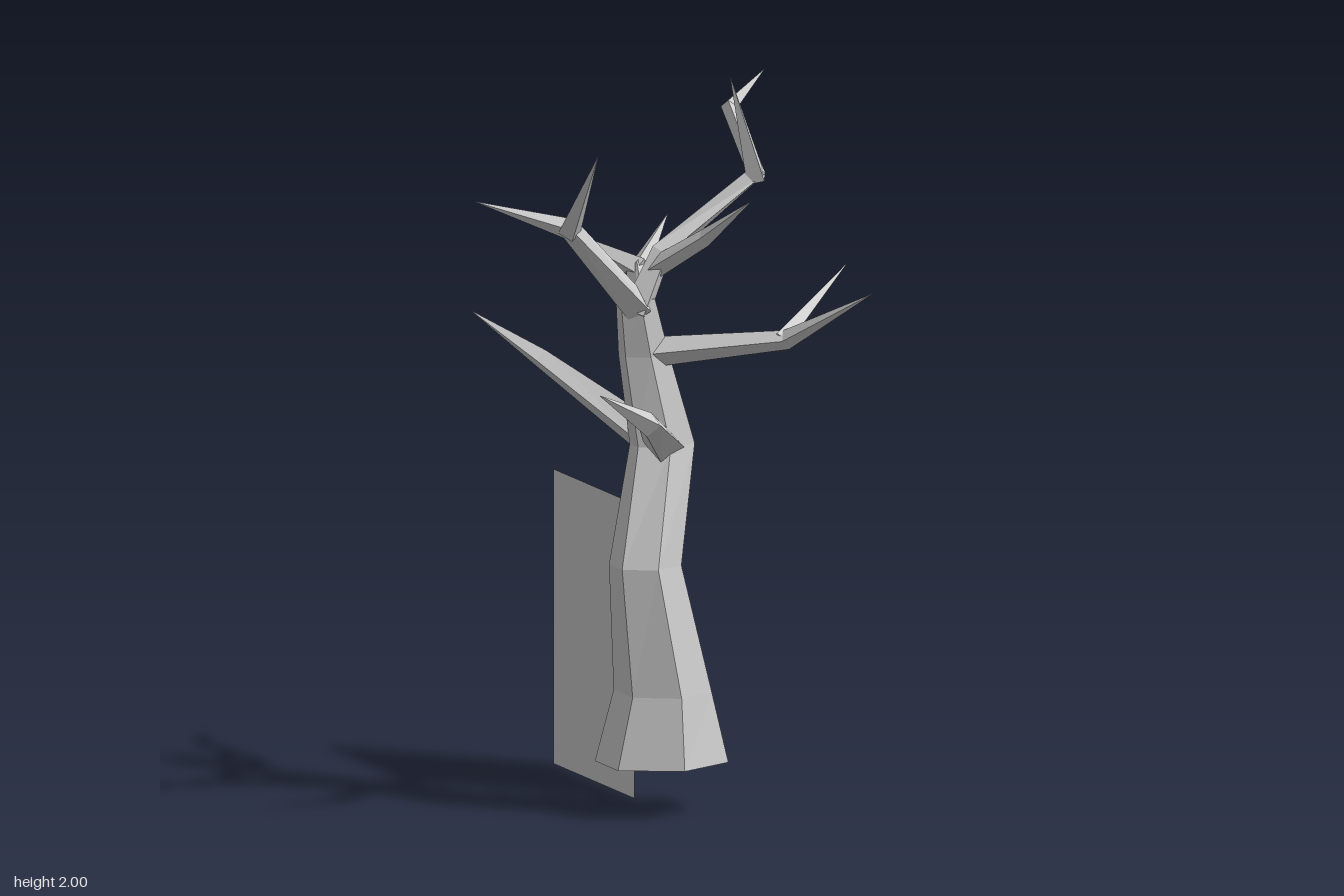
import * as THREE from 'three';

const bark = new THREE.MeshStandardMaterial({ color: 0xcccccc });
bark.name = 'pale grey';
const panelGrey = bark.clone();
panelGrey.name = 'pale grey panel';
panelGrey.side = THREE.DoubleSide;

// Skin a list of equal-sized rings with flat facets and closed ends
function loft(name, rings) {
  const pos = [];
  const tri = (...pts) => pts.forEach((p) => pos.push(p.x, p.y, p.z));
  const n = rings[0].length;
  for (let k = 0; k < rings.length - 1; k++) {
    const a = rings[k], b = rings[k + 1];
    for (let i = 0; i < n; i++) {
      const j = (i + 1) % n;
      tri(a[i], a[j], b[j]);
      tri(a[i], b[j], b[i]);
    }
  }
  const first = rings[0], last = rings[rings.length - 1];
  for (let i = 1; i < n - 1; i++) {
    tri(first[0], first[i + 1], first[i]);
    tri(last[0], last[i], last[i + 1]);
  }
  const g = new THREE.BufferGeometry();
  g.setAttribute('position', new THREE.Float32BufferAttribute(pos, 3));
  g.computeVertexNormals();
  const mesh = new THREE.Mesh(g, bark);
  mesh.name = name;
  return mesh;
}

// Six-sided trunk ring: height, centre x, centre z, half width, half depth
function trunkRing([y, cx, cz, hw, hd]) {
  return Array.from({ length: 6 }, (_, i) => {
    const a = Math.PI / 6 + (i * Math.PI) / 3;
    return new THREE.Vector3(cx + (hw / 0.866) * Math.cos(a), y, cz - hd * Math.sin(a));
  });
}

// Tapered limb along points [x, y, z, radius]
function limb(name, path, sides = 4) {
  const pts = path.map((p) => new THREE.Vector3(p[0], p[1], p[2]));
  const up = new THREE.Vector3(0, 1, 0);
  const rings = pts.map((p, k) => {
    const axis = new THREE.Vector3();
    if (k > 0) axis.add(p.clone().sub(pts[k - 1]).normalize());
    if (k < pts.length - 1) axis.add(pts[k + 1].clone().sub(p).normalize());
    axis.normalize();
    const u = up.clone().cross(axis).normalize();
    const v = axis.clone().cross(u);
    return Array.from({ length: sides }, (_, i) => {
      const a = Math.PI / 2 + (i * 2 * Math.PI) / sides;
      return p.clone()
        .addScaledVector(u, path[k][3] * Math.cos(a))
        .addScaledVector(v, path[k][3] * Math.sin(a));
    });
  });
  return loft(name, rings);
}

export function createModel() {
  const model = new THREE.Group();
  model.name = 'bareTree';

  // Crooked trunk
  model.add(loft('trunk', [
    [0.135, 0.012, 0.153, 0.162, 0.16],
    [0.33, 0.015, 0.153, 0.116, 0.132],
    [0.68, -0.037, 0.155, 0.087, 0.091],
    [1.0, 0.035, 0.103, 0.083, 0.059],
    [1.25, -0.022, 0.11, 0.064, 0.05],
    [1.41, -0.06, 0.142, 0.05, 0.036],
  ].map(trunkRing)));

  const T = 0.001; // twig tip radius
  const limbs = {
    // High left-hand branch
    topLeftBranch: [[-0.06, 1.37, 0.14, 0.045], [0.02, 1.53, 0.13, 0.032], [0.3, 1.73, 0.128, 0.028],
      [0.34, 1.86, -0.15, 0.024], [0.46, 1.945, -0.195, T]],
    topLeftTwig: [[0.3, 1.71, 0.128, 0.034], [0.213, 2.0, 0.157, T]],
    topFrontTwig: [[-0.01, 1.48, 0.12, 0.03], [0.09, 1.59, 0.27, 0.024], [0.153, 1.712, 0.435, T]],
    // High right-hand branch with two twigs
    topRightBranch: [[-0.05, 1.38, 0.14, 0.045], [-0.3, 1.64, 0.25, 0.03], [-0.515, 1.705, 0.108, T]],
    topRightTwig: [[-0.3, 1.63, 0.25, 0.032], [-0.32, 1.88, 0.493, T]],
    // Middle front branch
    midFrontBranch: [[-0.01, 1.255, 0.11, 0.042], [0.29, 1.31, 0.36, 0.027], [0.44, 1.465, 0.597, T]],
    midFrontTwig: [[0.28, 1.305, 0.35, 0.03], [0.512, 1.482, 0.25, T]],
    // Middle back branch
    midBackBranch: [[-0.005, 1.23, 0.1, 0.048], [0.055, 1.44, -0.11, 0.032], [0.2, 1.557, -0.25, T]],
    midBackTwig: [[0.06, 1.44, -0.1, 0.034], [-0.095, 1.53, -0.338, T]],
    // Low branches
    lowBackBranch: [[0.02, 1.0, 0.1, 0.055], [-0.175, 1.19, -0.235, 0.028], [-0.31, 1.302, -0.397, T]],
    lowFrontBranch: [[0.04, 0.99, 0.11, 0.055], [-0.1, 1.1, 0.33, 0.034], [-0.287, 1.21, 0.43, T]],
  };
  for (const [name, path] of Object.entries(limbs)) model.add(limb(name, path));

  // Upright flat panel behind the trunk
  const panel = new THREE.Mesh(new THREE.PlaneGeometry(0.56, 0.81), panelGrey);
  panel.name = 'uprightPanel';
  panel.rotation.y = Math.PI / 2;
  panel.position.set(0.015, 0.405, -0.32);
  model.add(panel);

  return model;
}
